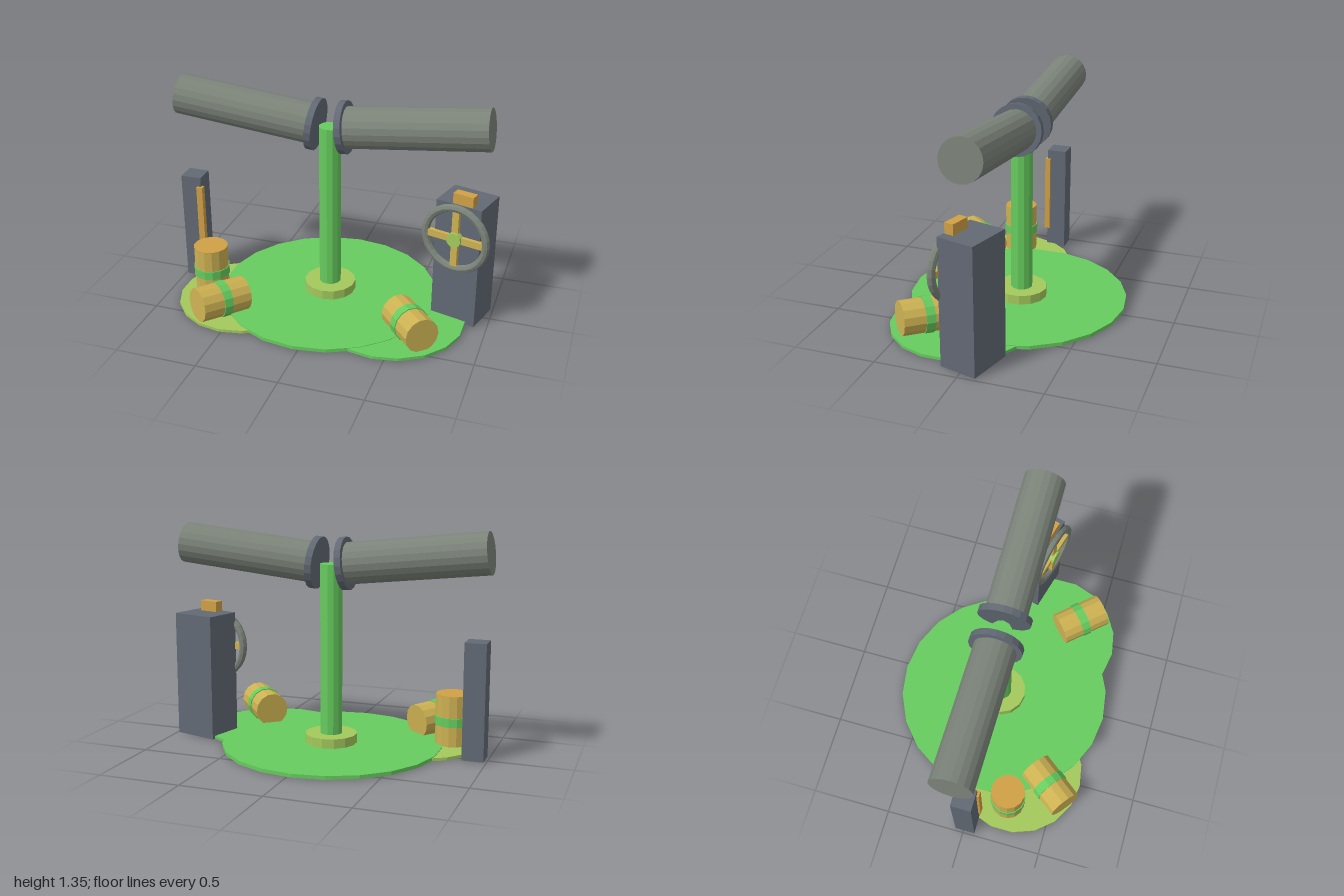
import * as THREE from 'three';

const mat = (name, color) => {
  const m = new THREE.MeshStandardMaterial({ color, flatShading: true });
  m.name = name;
  return m;
};

export function createModel() {
  const root = new THREE.Group();
  root.name = 'playground';

  const green = mat('leafGreen', 0x66cc5e);
  const olive = mat('oliveGreen', 0xa3c95c);
  const gold = mat('gold', 0xccb152);
  const orange = mat('orange', 0xd0a046);
  const slate = mat('slate', 0x626974);
  const grey = mat('pipeGrey', 0x7b8379);

  const add = (parent, name, geometry, material, x = 0, y = 0, z = 0) => {
    const mesh = new THREE.Mesh(geometry, material);
    mesh.name = name;
    mesh.position.set(x, y, z);
    parent.add(mesh);
    return mesh;
  };
  const group = (parent, name, x = 0, y = 0, z = 0) => {
    const g = new THREE.Group();
    g.name = name;
    g.position.set(x, y, z);
    parent.add(g);
    return g;
  };
  const cyl = (r, h, n) => new THREE.CylinderGeometry(r, r, h, n);
  const box = (w, h, d) => new THREE.BoxGeometry(w, h, d);

  // Overlapping ground discs
  add(root, 'mainGround', cyl(0.68, 0.022, 22), green, -0.03, 0.026, 0);
  add(root, 'sideGround', cyl(0.44, 0.018, 18), green, 0.435, 0.025, 0.19);
  add(root, 'oliveGround', cyl(0.41, 0.018, 18), olive, -0.51, 0.023, 0.235);

  // Post and its foot
  add(root, 'post', cyl(0.068, 1.1, 12), green, -0.03, 0.59, -0.02);
  add(root, 'postFoot', cyl(0.16, 0.06, 14), olive, -0.03, 0.065, -0.02);

  // Mirrored pipes rising outwards, each with a flange at the inner end
  for (const side of [-1, 1]) {
    const arm = group(root, side < 0 ? 'rightPipe' : 'leftPipe', -0.03 + side * 0.0915, 1.144, -0.02);
    arm.rotation.z = side * (0.107 - Math.PI / 2);
    add(arm, 'pipe', cyl(0.126, 0.873, 20), grey, 0, 0.4365, 0);
    add(arm, 'flange', cyl(0.159, 0.04, 20), slate);
  }

  // Cabinet with a handwheel and a small block on top
  const cabinet = group(root, 'cabinet', 0.815, 0, -0.025);
  cabinet.rotation.y = -0.268;
  add(cabinet, 'cabinetBody', box(0.29, 0.78, 0.235), slate, 0, 0.405, 0);
  add(cabinet, 'topBlock', box(0.129, 0.065, 0.058), orange, 0.022, 0.8275, 0.082);
  const wheel = group(cabinet, 'handwheel', -0.005, 0.58, 0.127);
  add(wheel, 'rim', new THREE.TorusGeometry(0.195, 0.024, 8, 28), grey);
  add(wheel, 'spokeAcross', box(0.37, 0.042, 0.03), gold);
  add(wheel, 'spokeUpright', box(0.042, 0.37, 0.03), gold);
  add(wheel, 'hub', cyl(0.046, 0.06, 12), olive).rotation.x = Math.PI / 2;

  // Upright pillar with a strip on its corner
  add(root, 'pillar', box(0.13, 0.705, 0.125), slate, -0.92, 0.3675, 0.01);
  add(root, 'pillarStrip', box(0.04, 0.51, 0.035), orange, -0.86, 0.405, 0.07);

  // Banded barrels, turned so that their axis follows a direction
  const barrel = (name, x, y, z, dx, dy, dz) => {
    const b = group(root, name, x, y, z);
    b.quaternion.setFromUnitVectors(
      new THREE.Vector3(0, 1, 0),
      new THREE.Vector3(dx, dy, dz).normalize()
    );
    add(b, 'barrelBody', cyl(0.106, 0.315, 14), gold);
    add(b, 'barrelBand', cyl(0.112, 0.055, 14), green, 0, -0.003, 0);
    return b;
  };
  const standing = barrel('standingBarrel', -0.735, 0.186, 0.225, 0, 1, 0);
  add(standing, 'barrelLid', cyl(0.106, 0.004, 14), orange, 0, 0.158, 0);
  barrel('rightLyingBarrel', -0.575, 0.123, 0.46, -0.62, 0.05, 0.785);
  barrel('leftLyingBarrel', 0.585, 0.127, 0.365, 0.66, 0.03, 0.75);

  return root;
}
